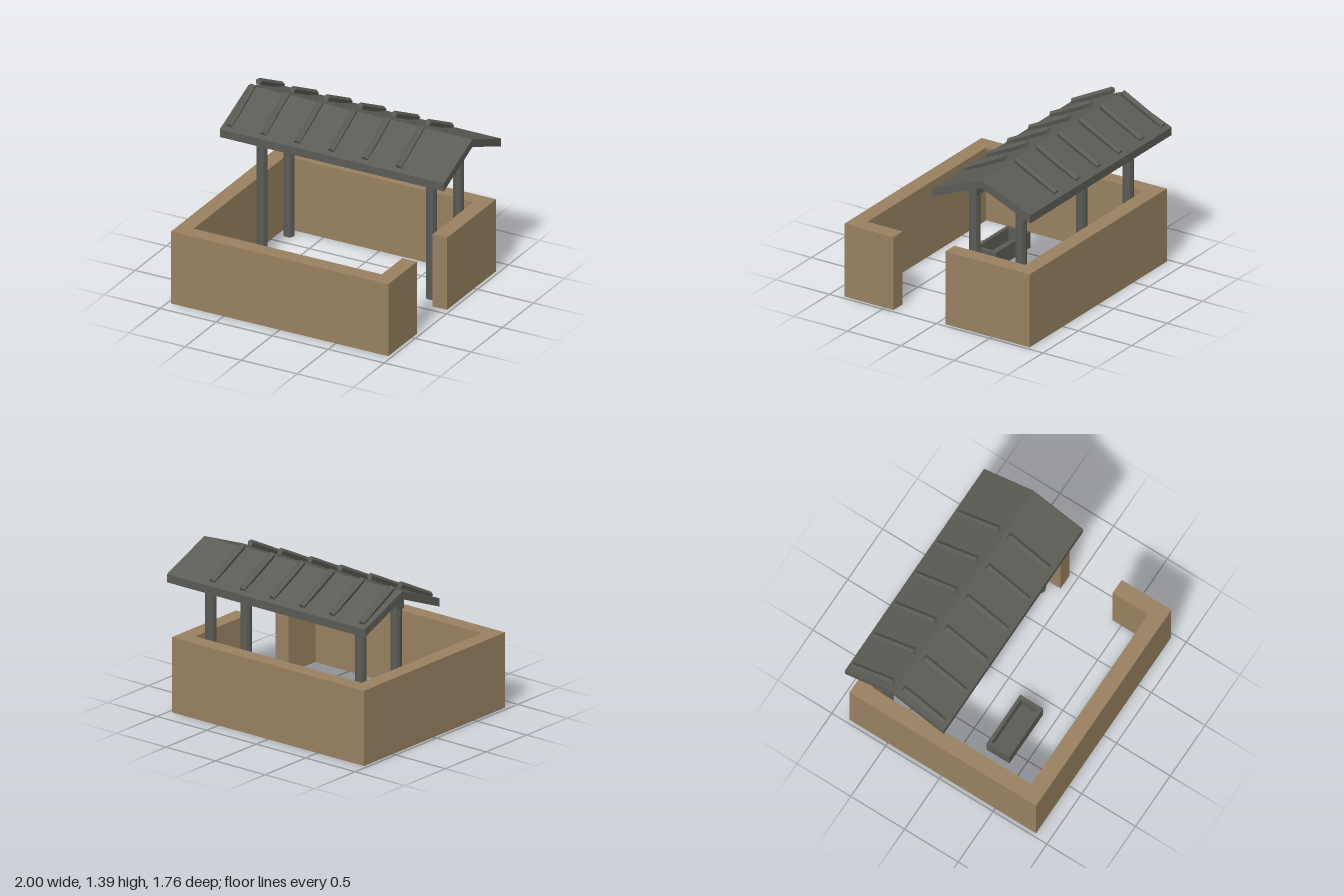
import * as THREE from 'three';

const earth = new THREE.MeshStandardMaterial({ color: 0x988160, flatShading: true });
earth.name = 'earthWall';
const timber = new THREE.MeshStandardMaterial({ color: 0x5b5c56, flatShading: true });
timber.name = 'darkTimber';

const shapeOf = (pts) => new THREE.Shape(pts.map(([a, b]) => new THREE.Vector2(a, b)));

export function createModel() {
  const model = new THREE.Group();
  model.name = 'walledPen';

  const add = (name, geometry, material, x = 0, y = 0, z = 0) => {
    const mesh = new THREE.Mesh(geometry, material);
    mesh.name = name;
    mesh.position.set(x, y, z);
    model.add(mesh);
    return mesh;
  };

  // Extrude a floor plan drawn in x, z up to a height
  const raisePlan = (shape, height) =>
    new THREE.ExtrudeGeometry(shape, { depth: height, bevelEnabled: false })
      .rotateX(Math.PI / 2).translate(0, height, 0);

  // Perimeter wall with a gateway on the left side
  const plan = shapeOf([
    [-0.97, -0.855], [0.97, -0.855], [0.97, -0.065], [0.84, -0.065], [0.84, -0.725], [-0.84, -0.725],
    [-0.84, 0.75], [0.84, 0.75], [0.84, 0.42], [0.97, 0.42], [0.97, 0.88], [-0.97, 0.88],
  ]);
  add('perimeterWall', raisePlan(plan, 0.625), earth);

  // Posts, with a beam on each row
  const postGeo = new THREE.CylinderGeometry(0.045, 0.045, 1.08, 8);
  const beamGeo = new THREE.BoxGeometry(1.6, 0.122, 0.09);
  for (const z of [-0.2, -0.635]) {
    for (const x of [-0.757, 0.757]) add('post', postGeo, timber, x, 0.54, z);
    add('beam', beamGeo, timber, 0, 1.138, z);
  }

  // Gabled roof slab: profile in z, y swept along x
  const ridgeZ = -0.42;
  const profile = shapeOf([
    [-0.46, 1.08], [0, 1.27], [0.46, 1.08], [0.46, 1.148], [0, 1.336], [-0.46, 1.148],
  ]);
  const roofGeo = new THREE.ExtrudeGeometry(profile, { depth: 2, bevelEnabled: false })
    .translate(0, 0, -1).rotateY(Math.PI / 2);
  add('roof', roofGeo, timber, 0, 0, ridgeZ);

  // Five-sided battens on both slopes, peak outwards
  const tilt = 0.473;
  for (const side of [1, -1]) {
    const battenGeo = new THREE.CylinderGeometry(0.028, 0.028, 0.421, 5)
      .rotateX(-Math.PI / 2) // lay along z with a corner up
      .rotateX(side * tilt);
    for (let i = 0; i < 6; i++) {
      add('roofBatten', battenGeo, timber, -0.935 + i * 0.302, 1.268, ridgeZ + side * 0.234);
    }
  }

  // Trough: open rim over a thin floor
  const rim = shapeOf([[-0.597, 0.177], [-0.112, 0.177], [-0.112, 0.39], [-0.597, 0.39]]);
  rim.holes.push(shapeOf([[-0.567, 0.205], [-0.567, 0.36], [-0.143, 0.36], [-0.143, 0.205]]));
  add('troughSides', raisePlan(rim, 0.14), timber);
  add('troughFloor', new THREE.BoxGeometry(0.424, 0.03, 0.155), timber, -0.355, 0.015, 0.2825);

  return model;
}
